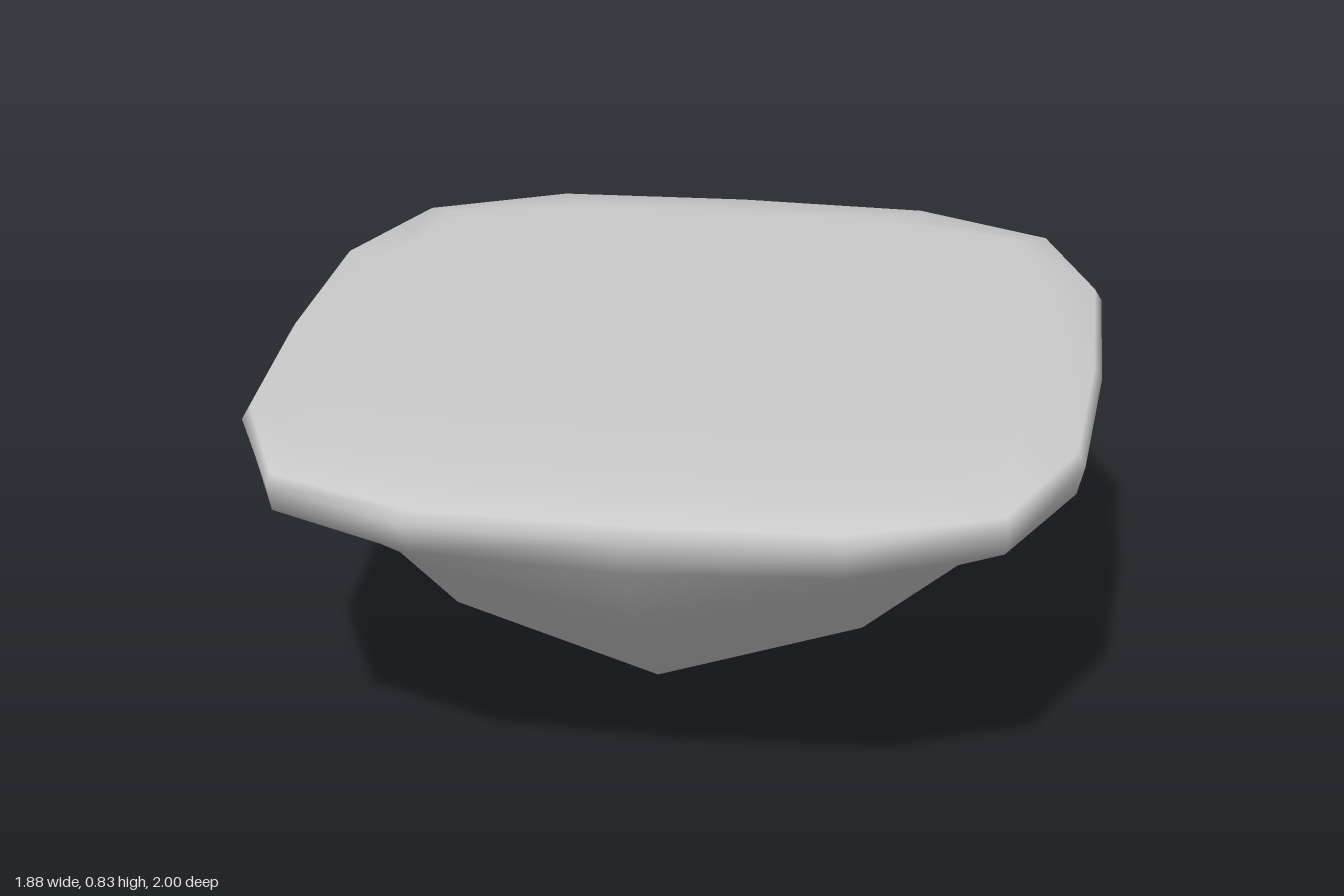
import * as THREE from 'three';
import { mergeVertices } from 'three/addons/utils/BufferGeometryUtils.js';

const RIM_Y = 0.77;   // height of the widest line
const ROUND = 3.72;   // squareness of the rounded box

export function createModel() {
  const group = new THREE.Group();
  group.name = 'cushionStone';

  // Low-poly rounded box: flat on top, drawn down to a point below
  let geo = new THREE.BoxGeometry(2, 2, 2, 4, 4, 4);
  geo.deleteAttribute('normal');
  geo.deleteAttribute('uv');
  geo = mergeVertices(geo, 1e-4);

  const pos = geo.attributes.position;
  for (let i = 0; i < pos.count; i++) {
    const p = new THREE.Vector3().fromBufferAttribute(pos, i);
    const sum = [p.x, p.y, p.z].reduce((s, c) => s + Math.abs(c) ** ROUND, 0);
    p.divideScalar(sum ** (1 / ROUND));

    // Shallow crown above the rim, depth fading with radius below it
    const r = Math.hypot(p.x, p.z);
    const depth = p.y > 0 ? 0.063 : Math.max(0.14, 0.77 - 0.63 * r ** 1.65);
    pos.setXYZ(i, p.x * 0.94, RIM_Y + p.y * depth, p.z);
  }
  geo.computeVertexNormals();

  const stone = new THREE.Mesh(geo, new THREE.MeshStandardMaterial({ color: 0xcccccc }));
  stone.name = 'stone';
  group.add(stone);
  return group;
}
